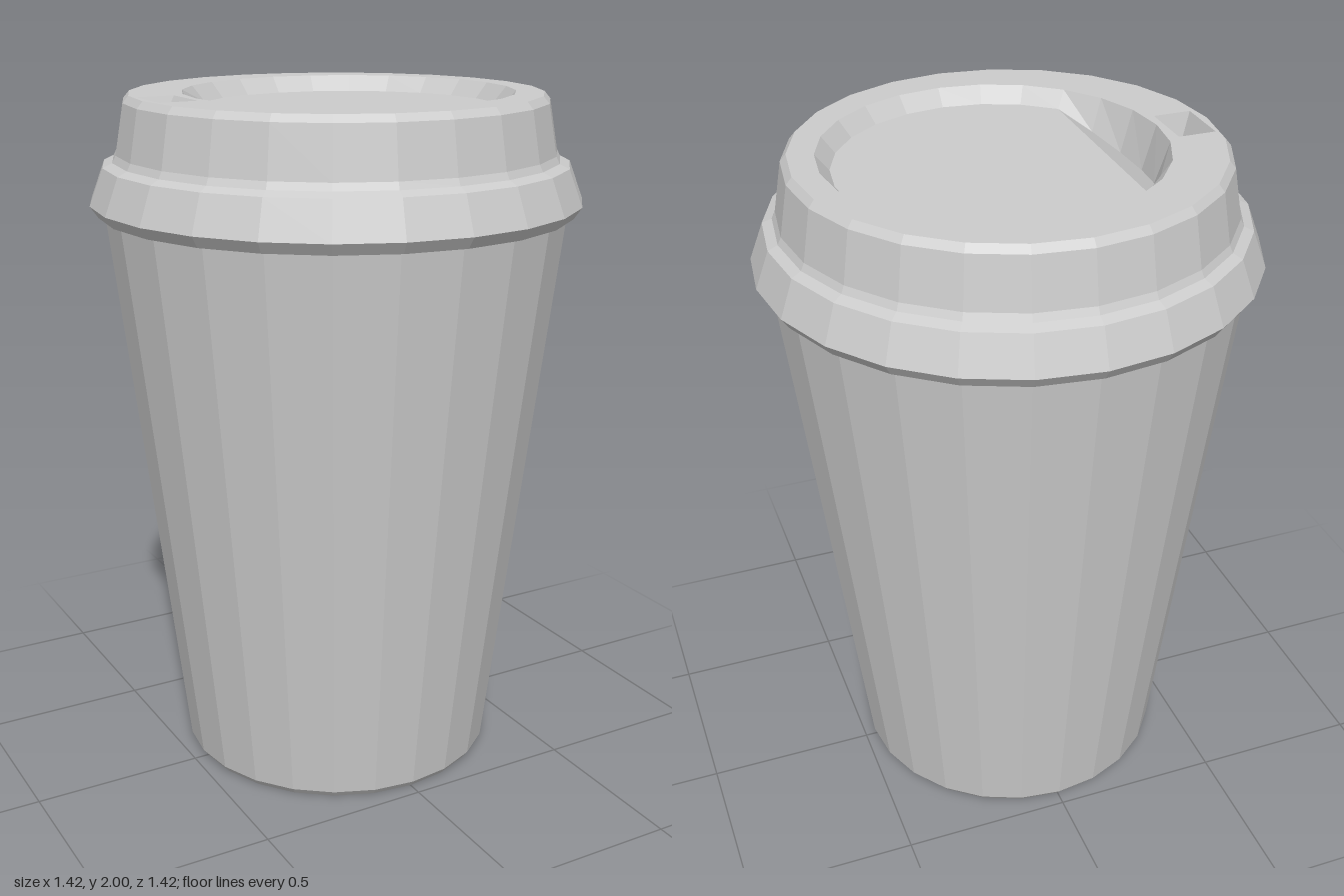
import * as THREE from 'three';

const SIDES = 24;
const TOP = 2;

const material = new THREE.MeshStandardMaterial({
  color: 0xcccccc, flatShading: true, side: THREE.DoubleSide,
});

function part(name, geometry) {
  const mesh = new THREE.Mesh(geometry, material);
  mesh.name = name;
  return mesh;
}

function lathe(name, profile) {
  return part(name, new THREE.LatheGeometry(profile.map(([r, y]) => new THREE.Vector2(r, y)), SIDES));
}

// Points round a circle; height is a rule of x
function circle(cx, r, height) {
  return Array.from({ length: SIDES }, (_, i) => {
    const a = (i / SIDES) * Math.PI * 2;
    const x = cx + r * Math.cos(a);
    return new THREE.Vector3(x, height(x), r * Math.sin(a));
  });
}

function rectangle(x0, x1, z0, z1, y) {
  return [[x1, z0], [x1, z1], [x0, z1], [x0, z0]].map(([x, z]) => new THREE.Vector3(x, y, z));
}

// A sunken pocket: inward walls from the upper to the lower ring
function wallQuads(upper, lower) {
  return upper.map((p, i) => {
    const j = (i + 1) % upper.length;
    return [p, lower[i], lower[j], upper[j]];
  });
}

function fromQuads(quads) {
  const points = quads.flatMap(([a, b, c, d]) => [a, b, c, a, c, d]);
  const geometry = new THREE.BufferGeometry().setFromPoints(points);
  geometry.computeVertexNormals();
  return geometry;
}

const toPath = (ring, Type) => new Type(ring.map((p) => new THREE.Vector2(p.x, -p.z)));

export function createModel() {
  const model = new THREE.Group();
  model.name = 'takeawayCup';

  // Tapered cup with a raised base inside its foot ring
  model.add(lathe('cup', [
    [0, 0.1], [0.425, 0.1], [0.435, 0.01], [0.455, 0], [0.47, 0.02], [0.668, 1.69],
  ]));

  const lid = new THREE.Group();
  lid.name = 'lid';
  model.add(lid);

  // Flared skirt, step and upper band
  lid.add(lathe('lidSide', [
    [0.655, 1.665], [0.685, 1.667], [0.708, 1.7], [0.668, 1.805], [0.64, 1.818],
    [0.63, 1.838], [0.605, 1.98], [0.588, TOP],
  ]));

  // Flat top ring, opened for the recess and the drinking hole
  const flat = () => TOP;
  const recessRim = circle(0.04, 0.475, flat);
  const holeRim = rectangle(-0.565, -0.455, -0.1, 0.06, TOP);
  const topShape = toPath(circle(0, 0.588, flat), THREE.Shape);
  topShape.holes.push(toPath(recessRim, THREE.Path), toPath(holeRim, THREE.Path));
  const topGeometry = new THREE.ShapeGeometry(topShape);
  topGeometry.rotateX(-Math.PI / 2).translate(0, TOP, 0);
  lid.add(part('lidTop', topGeometry));

  // Recess floor: nearly level, then dropping towards the drinking side
  const crease = -0.27;
  const floorHeight = (x) => (x >= crease
    ? TOP - 0.045
    : TOP - 0.045 - (crease - x) * 0.65);
  const floorRing = circle(0.04, 0.437, floorHeight);
  const floorQuads = [];
  for (let i = 0; i < SIDES / 2; i++) {
    const mirrored = (k) => floorRing[(SIDES - k) % SIDES];
    floorQuads.push([floorRing[i], mirrored(i), mirrored(i + 1), floorRing[i + 1]]);
  }
  lid.add(part('recessWall', fromQuads(wallQuads(recessRim, floorRing))));
  lid.add(part('recessFloor', fromQuads(floorQuads)));

  // Tapered drinking hole
  const holeBase = rectangle(-0.54, -0.5, -0.075, 0.045, TOP - 0.07);
  lid.add(part('drinkingHole', fromQuads([
    ...wallQuads(holeRim, holeBase),
    [...holeBase].reverse(),
  ])));

  return model;
}
